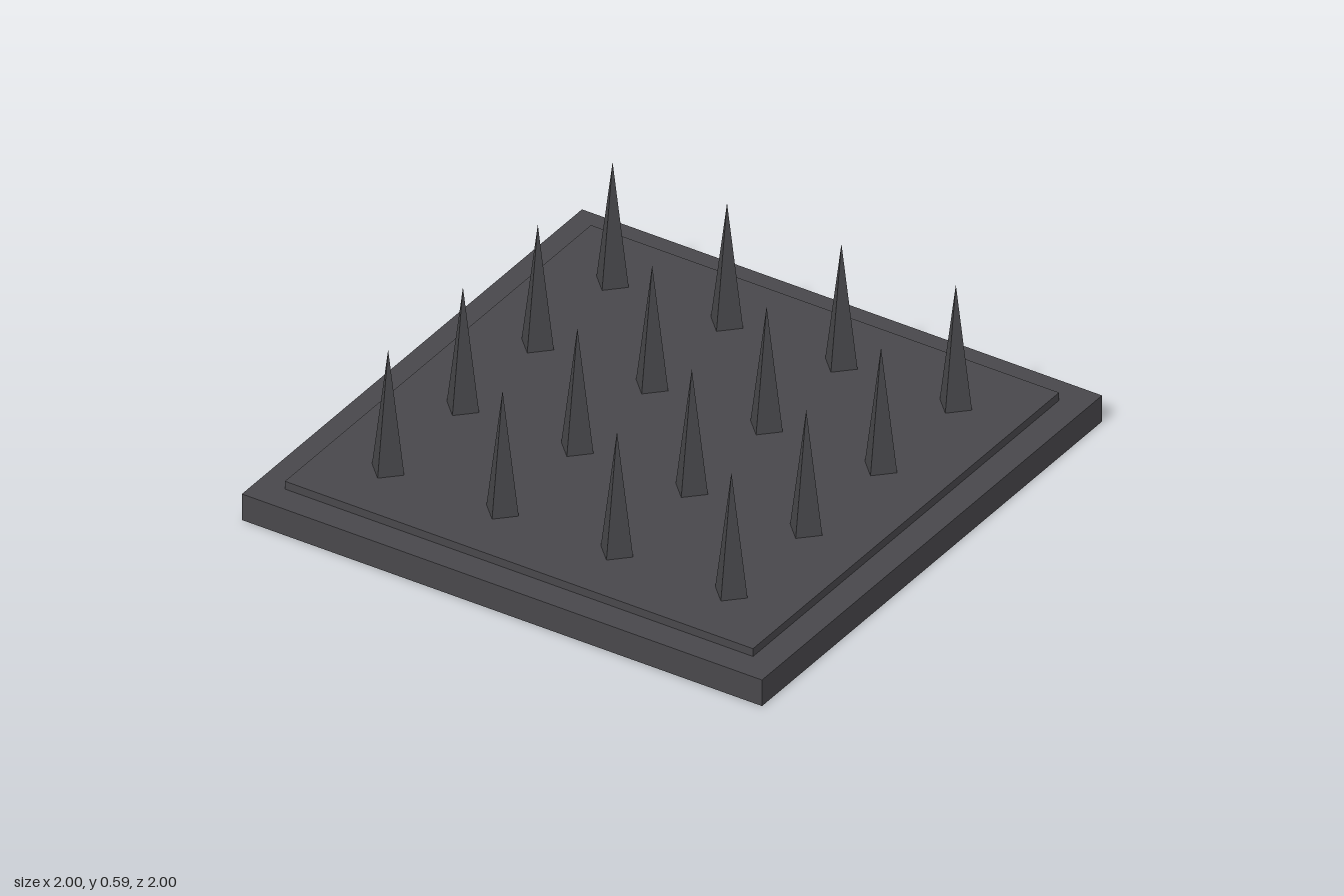
import * as THREE from 'three';

export function createModel() {
  const model = new THREE.Group();
  model.name = 'spikeTrap';

  const plateMetal = new THREE.MeshStandardMaterial({ color: 0x48474b });
  plateMetal.name = 'dark plate metal';
  const spikeMetal = new THREE.MeshStandardMaterial({ color: 0x454548 });
  spikeMetal.name = 'dark spike metal';

  function add(name, geometry, material, x, y, z) {
    const mesh = new THREE.Mesh(geometry, material);
    mesh.name = name;
    mesh.position.set(x, y, z);
    model.add(mesh);
  }

  // Square base slab with a thin raised plate
  add('base', new THREE.BoxGeometry(2, 0.1, 2), plateMetal, 0, 0.05, 0);
  add('raisedPlate', new THREE.BoxGeometry(1.8, 0.03, 1.8), plateMetal, 0, 0.115, 0);

  // Four by four grid of four-sided spikes, corners along the axes
  const bottom = 0.13, height = 0.46, spacing = 0.44;
  const cone = new THREE.ConeGeometry(0.062, height, 4).toNonIndexed();
  cone.computeVertexNormals();
  for (let row = 0; row < 4; row++) {
    for (let col = 0; col < 4; col++) {
      add(`spike${row + 1}_${col + 1}`, cone, spikeMetal,
        (col - 1.5) * spacing, bottom + height / 2, (row - 1.5) * spacing);
    }
  }
  return model;
}
